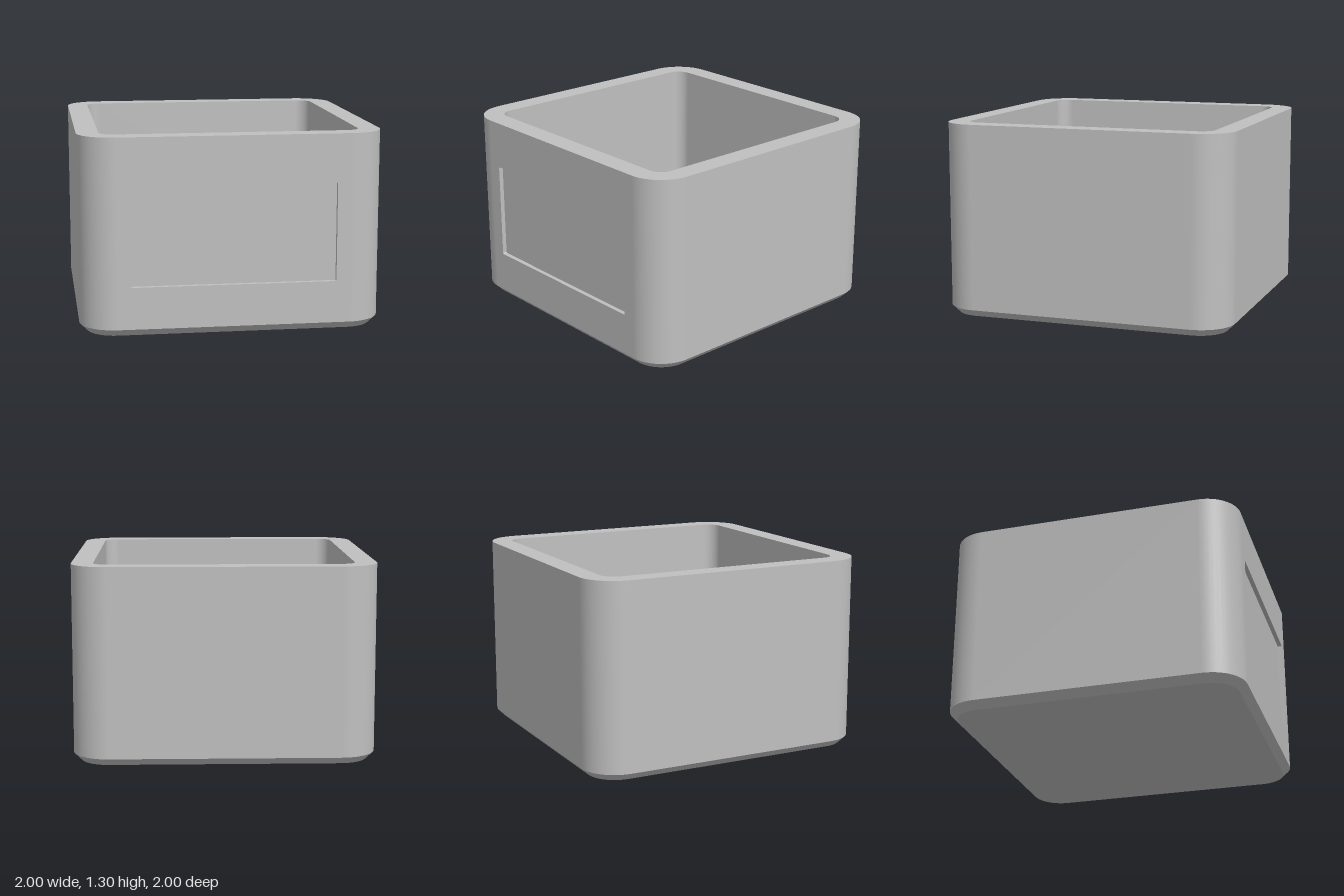
import * as THREE from 'three';

const STEPS = 12; // segments per rounded corner
const RING = 4 * (STEPS + 1);

// Rounded rectangle outline: half sizes hx, hz and corner radius r
function outline(hx, hz, r) {
  const pts = [];
  for (let q = 0; q < 4; q++) {
    const sx = q === 0 || q === 3 ? 1 : -1;
    const sz = q < 2 ? 1 : -1;
    for (let i = 0; i <= STEPS; i++) {
      const a = (q + i / STEPS) * Math.PI / 2;
      const c = Math.cos(a), s = Math.sin(a);
      pts.push({ x: sx * (hx - r) + r * c, z: sz * (hz - r) + r * s, c, s });
    }
  }
  return pts;
}

// Wall between two outlines [hx, hz, r, y]; inward turns it to face the middle
function band(lower, upper, inward = false, skipFront = false) {
  const dy = upper[3] - lower[3], dr = upper[0] - lower[0];
  const len = Math.hypot(dy, dr) * (inward ? -1 : 1);
  const pos = [], nor = [], idx = [];
  for (const [hx, hz, r, y] of [lower, upper]) {
    for (const p of outline(hx, hz, r)) {
      pos.push(p.x, y, p.z);
      nor.push(p.c * dy / len, -dr / len, p.s * dy / len);
    }
  }
  for (let i = 0; i < RING; i++) {
    if (skipFront && i === STEPS) continue;
    const a = i, b = (i + 1) % RING, c = a + RING, d = b + RING;
    if (inward) idx.push(a, b, c, b, d, c);
    else idx.push(a, c, b, b, c, d);
  }
  const g = new THREE.BufferGeometry();
  g.setAttribute('position', new THREE.Float32BufferAttribute(pos, 3));
  g.setAttribute('normal', new THREE.Float32BufferAttribute(nor, 3));
  g.setIndex(idx);
  return g;
}

const flatPoints = (hx, hz, r, cy = 0) =>
  outline(hx, hz, r).map(p => new THREE.Vector2(p.x, p.z + cy));

// Flat face in the xy plane, with an optional hole
function face(points, hole) {
  const shape = new THREE.Shape(points);
  if (hole) shape.holes.push(new THREE.Path(hole));
  return new THREE.ShapeGeometry(shape);
}

export function createModel() {
  const group = new THREE.Group();
  const grey = new THREE.MeshStandardMaterial({ color: 0xc0c0c0 });
  grey.name = 'grey';
  const add = (name, geometry) => {
    const mesh = new THREE.Mesh(geometry, grey);
    mesh.name = name;
    group.add(mesh);
  };

  const H = 1.305, R = 0.24, CH = 0.05;          // height, corner radius, bottom chamfer
  const IN = 0.855, IR = 0.095;                  // cavity half size and radius
  const FLOOR = 0.145, FH = 0.69, FR = 0.04;     // cavity floor
  const slopeTop = FLOOR + IN - FH;
  const up = -Math.PI / 2, down = Math.PI / 2;

  // Outer shell
  add('outerWall', band([1, 1, R, CH], [1, 1, R, H], false, true));
  add('bottomChamfer', band([1 - CH, 1 - CH, R - CH, 0], [1, 1, R, CH]));
  add('underside', face(flatPoints(1 - CH, 1 - CH, R - CH)).rotateX(down));
  add('rim', face(flatPoints(1, 1, R), flatPoints(IN, IN, IR)).rotateX(up).translate(0, H, 0));

  // Cavity with a sloped edge around its floor
  add('innerWall', band([IN, IN, IR, slopeTop], [IN, IN, IR, H], true));
  add('innerSlope', band([FH, FH, FR, FLOOR], [IN, IN, IR, slopeTop], true));
  add('innerFloor', face(flatPoints(FH, FH, FR)).rotateX(up).translate(0, FLOOR, 0));

  // Front panel with a shallow label recess
  const w = 0.675, h = 0.328, r = 0.01, cy = 0.657, depth = 0.03;
  const e = 1 - R;
  const panel = [[-e, CH], [e, CH], [e, H], [-e, H]].map(p => new THREE.Vector2(...p));
  add('frontWall', face(panel, flatPoints(w, h, r, cy)).translate(0, 0, 1));
  add('recessBack', face(flatPoints(w, h, r, cy)).translate(0, 0, 1 - depth));
  add('recessSides', band([w, h, r, 1 - depth], [w, h, r, 1], true).rotateX(down).translate(0, cy, 0));

  return group;
}
